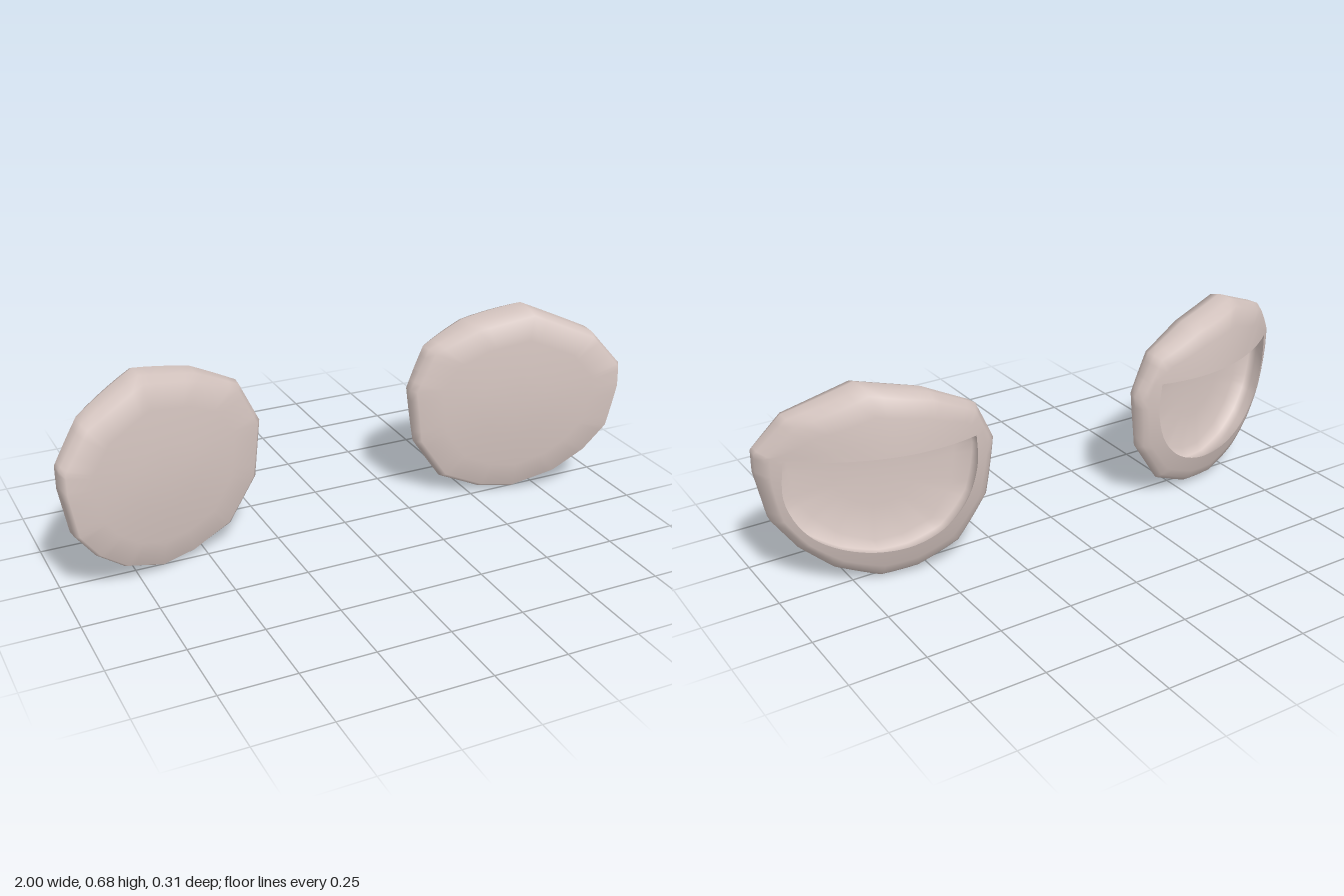
import * as THREE from 'three';
import { mergeVertices } from 'three/addons/utils/BufferGeometryUtils.js';

const CX = 0.64, CY = 0.34; // middle of one pad

// Faceted outer outline of the pad (x, y)
const outline = [
  [1.0, 0.40], [1.0, 0.475], [0.91, 0.59], [0.70, 0.68], [0.50, 0.635], [0.345, 0.56], [0.277, 0.42],
  [0.30, 0.22], [0.40, 0.07], [0.54, 0.012], [0.66, 0.0], [0.80, 0.055], [0.90, 0.14], [0.97, 0.24],
];

// Half-moon opening in the back: flat top edge, rounded lower edge
const lowerEdge = new THREE.CatmullRomCurve3([
  [0.36, 0.463], [0.355, 0.36], [0.39, 0.24], [0.46, 0.16], [0.55, 0.12], [0.64, 0.11],
  [0.75, 0.125], [0.85, 0.17], [0.905, 0.23], [0.943, 0.33], [0.94, 0.463],
].map(([x, y]) => new THREE.Vector3(x, y, 0))).getPoints(40).map((p) => [p.x, p.y]);

// Curved front and back surfaces
const frontZ = (x, y) => -0.045 + 0.25 * (x - 0.28) + 0.06 * (x - 0.28) ** 2 - 0.25 * (y - 0.36) ** 2;
const backZ = (x, y) => -0.15 + 0.89 * (x - 0.5) ** 2 + 0.47 * (y - 0.45) ** 2;

// Distance from the middle to a closed polygon along an angle
function reach(poly, angle) {
  const dx = Math.cos(angle), dy = Math.sin(angle);
  let best = 0;
  poly.forEach(([ax, ay], i) => {
    const [bx, by] = poly[(i + 1) % poly.length];
    const ex = bx - ax, ey = by - ay, det = dx * ey - dy * ex;
    if (Math.abs(det) < 1e-9) return;
    const t = ((ax - CX) * ey - (ay - CY) * ex) / det;
    const s = ((ax - CX) * dy - (ay - CY) * dx) / det;
    if (t > 0 && s > -1e-6 && s < 1 + 1e-6) best = Math.max(best, t);
  });
  return best;
}

// Rays through every outline corner and opening corner, with steps between
function makeRays() {
  const angleOf = ([x, y]) => (Math.atan2(y - CY, x - CX) + Math.PI * 2) % (Math.PI * 2);
  const corners = outline.map(angleOf).sort((a, b) => a - b);
  const angles = [angleOf(lowerEdge[0]), angleOf(lowerEdge[lowerEdge.length - 1])];
  corners.forEach((a, i) => {
    const b = i + 1 < corners.length ? corners[i + 1] : corners[0] + Math.PI * 2;
    for (let k = 0; k < 5; k++) angles.push((a + (b - a) * k / 5) % (Math.PI * 2));
  });
  return angles.sort((a, b) => a - b)
    .map((a) => ({ a, out: reach(outline, a), open: reach(lowerEdge, a) }));
}

// Skin a list of rings; each ring gives a radius per ray and a height
// between the back (0) and front (1) surfaces, plus an offset in z
function skin(rays, rings, side) {
  const positions = [], index = [], n = rays.length;
  for (const { radius, depth, lift = 0 } of rings) {
    for (const ray of rays) {
      const r = radius(ray);
      const x = CX + Math.cos(ray.a) * r, y = CY + Math.sin(ray.a) * r;
      const z = THREE.MathUtils.lerp(backZ(x, y), frontZ(x, y), depth) + lift;
      positions.push(x * side, y, z);
    }
  }
  const tri = (a, b, c) => index.push(...(side > 0 ? [a, b, c] : [a, c, b]));
  for (let j = 0; j + 1 < rings.length; j++) {
    for (let i = 0; i < n; i++) {
      const k = (i + 1) % n;
      const a = j * n + i, b = a + n, c = (j + 1) * n + k, d = j * n + k;
      if (rings[j + 1].centre) tri(a, b, d);
      else {
        tri(a, b, c);
        if (!rings[j].centre) tri(a, c, d);
      }
    }
  }
  let g = new THREE.BufferGeometry();
  g.setAttribute('position', new THREE.Float32BufferAttribute(positions, 3));
  g.setIndex(index);
  g = mergeVertices(g, 1e-5);
  g.computeVertexNormals();
  return g;
}

const mix = THREE.MathUtils.lerp;

// Front face, rim and back, ending at the lip of the opening
const shellRings = [
  { radius: () => 0, depth: 1, centre: true },
  { radius: (r) => r.out * 0.35, depth: 1 },
  { radius: (r) => r.out * 0.7, depth: 1 },
  { radius: (r) => r.out * 0.95, depth: 1 },
  { radius: (r) => r.out * 0.99, depth: 0.7 },
  { radius: (r) => r.out, depth: 0.25 },
  { radius: (r) => r.out * 0.95, depth: 0 },
  { radius: (r) => mix(r.out * 0.95, r.open, 0.33), depth: 0 },
  { radius: (r) => mix(r.out * 0.95, r.open, 0.67), depth: 0 },
  { radius: (r) => r.open, depth: 0 },
];

// Hollow inside, reaching up behind the top of the back
const pocketRings = [
  { radius: (r) => r.open, depth: 0 },
  { radius: (r) => mix(r.open, r.out * 0.93, 0.4), depth: 0.35 },
  { radius: (r) => mix(r.open, r.out * 0.9, 0.4), depth: 0.65 },
  { radius: (r) => r.out * 0.7, depth: 0.88 },
  { radius: (r) => r.out * 0.35, depth: 1, lift: -0.015 },
  { radius: () => 0, depth: 1, lift: -0.015, centre: true },
];

export function createModel() {
  const model = new THREE.Group();
  model.name = 'padPair';
  const material = new THREE.MeshStandardMaterial({ color: 0xd6c6c1 });
  material.name = 'pale pinkish grey';
  const rays = makeRays();

  for (const [side, label] of [[1, 'left'], [-1, 'right']]) {
    const pad = new THREE.Group();
    pad.name = `${label}Pad`;
    const shell = new THREE.Mesh(skin(rays, shellRings, side), material);
    shell.name = `${label}Shell`;
    const pocket = new THREE.Mesh(skin(rays, pocketRings, side), material);
    pocket.name = `${label}Pocket`;
    pad.add(shell, pocket);
    model.add(pad);
  }
  return model;
}
